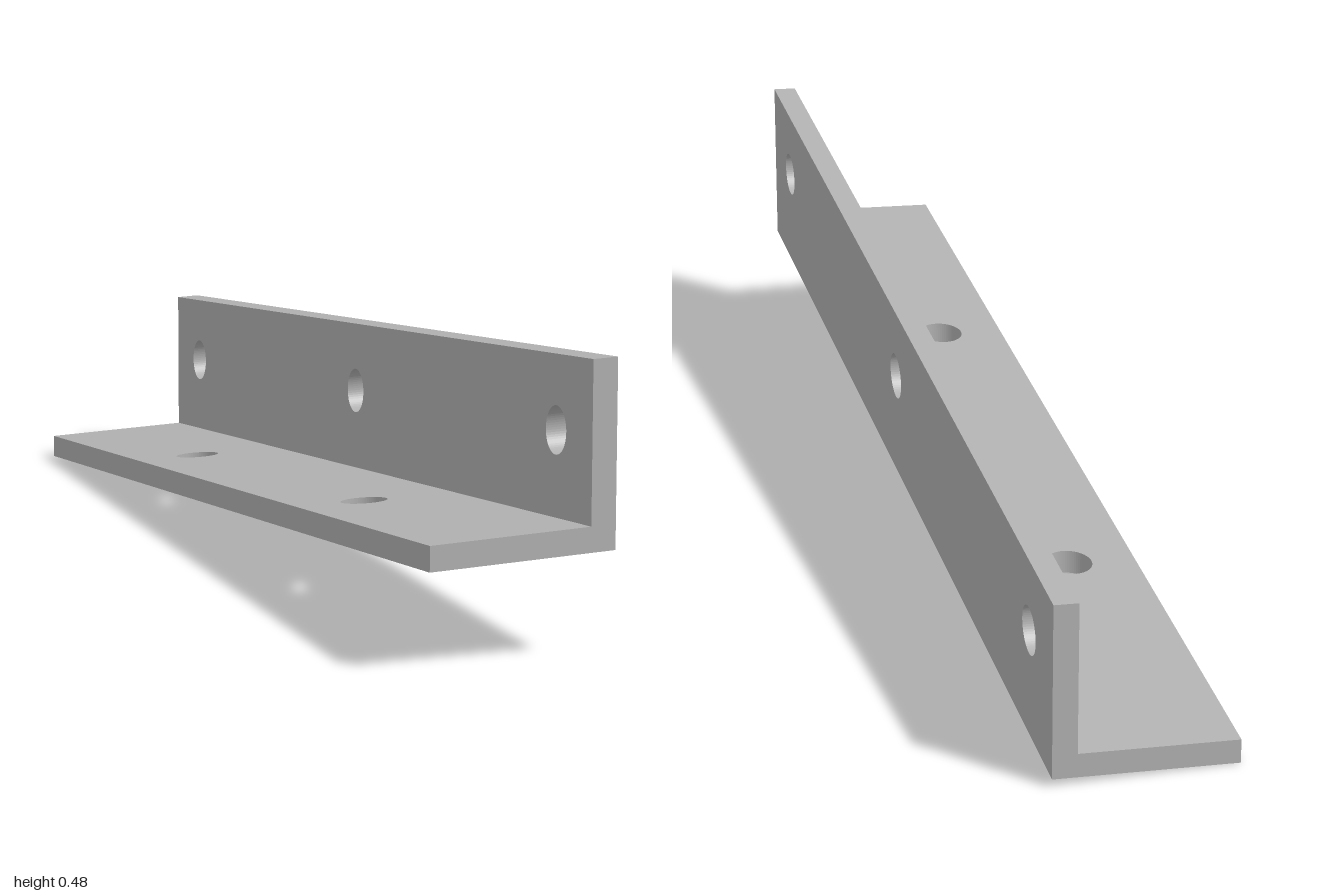
import * as THREE from 'three';

const LENGTH = 2.076, WIDTH = 0.314, HEIGHT = 0.307, THICK = 0.042, HOLE = 0.04;

// Flat plate between y0 and y1 with round through holes
function plate(y0, y1, holes) {
  const shape = new THREE.Shape();
  shape.moveTo(0, y0);
  shape.lineTo(LENGTH, y0);
  shape.lineTo(LENGTH, y1);
  shape.lineTo(0, y1);
  shape.closePath();
  for (const [x, y] of holes) {
    const hole = new THREE.Path();
    hole.absarc(x, y, HOLE, 0, Math.PI * 2, true);
    shape.holes.push(hole);
  }
  return new THREE.ExtrudeGeometry(shape, { depth: THICK, bevelEnabled: false, curveSegments: 32 });
}

export function createModel() {
  const group = new THREE.Group();
  group.name = 'angleBracket';
  const steel = new THREE.MeshStandardMaterial({ color: 0xb2b2b2 });
  steel.name = 'grey steel';

  // Slanted frame: along the bracket, straight up, and out of the upright face
  const s = 0.4437, c = 0.8962;
  const frame = new THREE.Matrix4().makeBasis(
    new THREE.Vector3(s, -0.162 / LENGTH, -c),
    new THREE.Vector3(0, 1, 0),
    new THREE.Vector3(c, 0.014 / WIDTH, s)
  ).setPosition(-0.3195, 0.176, 0.9995);

  const add = (name, geometry) => {
    const mesh = new THREE.Mesh(geometry.applyMatrix4(frame), steel);
    mesh.name = name;
    group.add(mesh);
  };

  // Upright leg with three holes
  add('uprightLeg', plate(0, HEIGHT, [0.14, 1.038, 1.936].map(x => [x, 0.184]))
    .translate(0, 0, -THICK));

  // Bottom leg with two holes
  add('bottomLeg', plate(THICK, WIDTH, [0.589, 1.487].map(x => [x, 0.197]))
    .rotateX(-Math.PI / 2));

  return group;
}
